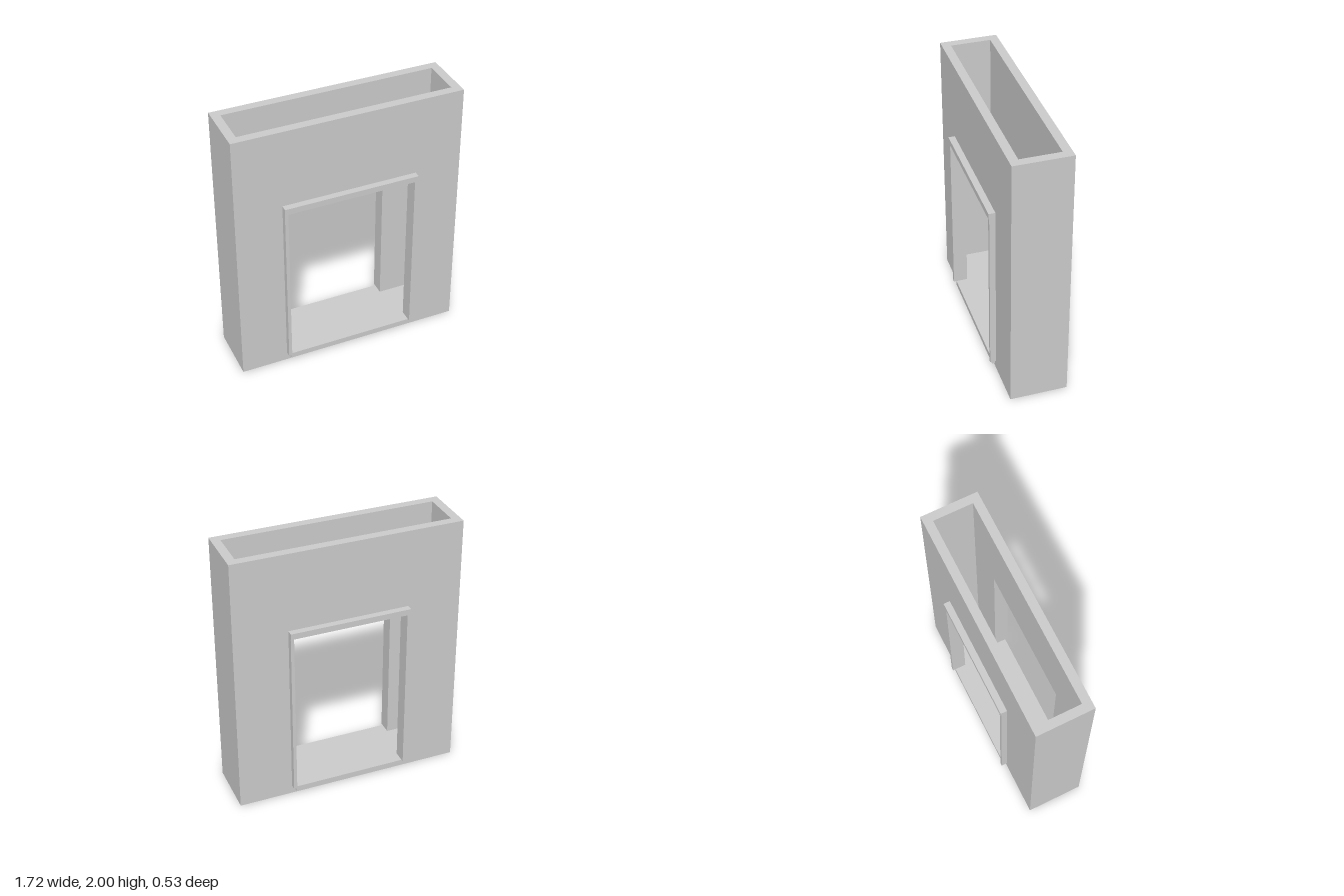
import * as THREE from 'three';

const W = 0.86, D = 0.214, T = 0.065, H = 2;   // half width, half depth, wall thickness, height
const SILL = 0.065, HEAD = 1.36;               // bottom and top of the openings

const material = new THREE.MeshStandardMaterial({ color: 0xcccccc, flatShading: true });

// Box given by its minimum and maximum corners
function box(name, x0, x1, y0, y1, z0, z1) {
  const mesh = new THREE.Mesh(new THREE.BoxGeometry(x1 - x0, y1 - y0, z1 - z0), material);
  mesh.position.set((x0 + x1) / 2, (y0 + y1) / 2, (z0 + z1) / 2);
  mesh.name = name;
  return mesh;
}

function rectangle(path, x, y0, y1) {
  path.moveTo(-x, y0);
  path.lineTo(x, y0);
  path.lineTo(x, y1);
  path.lineTo(-x, y1);
  path.closePath();
  return path;
}

// Wall with a doorway and its trim, facing +z
function doorWall(name, half) {
  const group = new THREE.Group();
  group.name = name;

  const shape = rectangle(new THREE.Shape(), W, 0, H);
  shape.holes.push(rectangle(new THREE.Path(), half, SILL, HEAD));
  const wall = new THREE.Mesh(
    new THREE.ExtrudeGeometry(shape, { depth: T, bevelEnabled: false }), material);
  wall.position.z = D - T;
  wall.name = 'wallPanel';
  group.add(wall);

  // Trim: jambs, header and sill
  const outer = half + 0.025;
  group.add(
    box('rightJamb', -outer, -half, SILL, HEAD, D, 0.258),
    box('leftJamb', half, outer, SILL, HEAD, D, 0.258),
    box('header', -outer, outer, HEAD, 1.405, D, 0.263),
    box('sill', -half, half, 0.025, SILL, D, 0.237));
  return group;
}

export function createModel() {
  const model = new THREE.Group();
  model.name = 'doorwayBlock';

  const front = doorWall('frontWall', 0.485);
  const back = doorWall('backWall', 0.43);
  back.rotation.y = Math.PI;
  model.add(front, back);

  // Side walls and floor of the open-topped shell
  const inner = D - T;
  model.add(
    box('rightWall', -W, -W + T, 0, H, -inner, inner),
    box('leftWall', W - T, W, 0, H, -inner, inner),
    box('floor', -W + T, W - T, 0, SILL, -inner, inner));
  return model;
}
